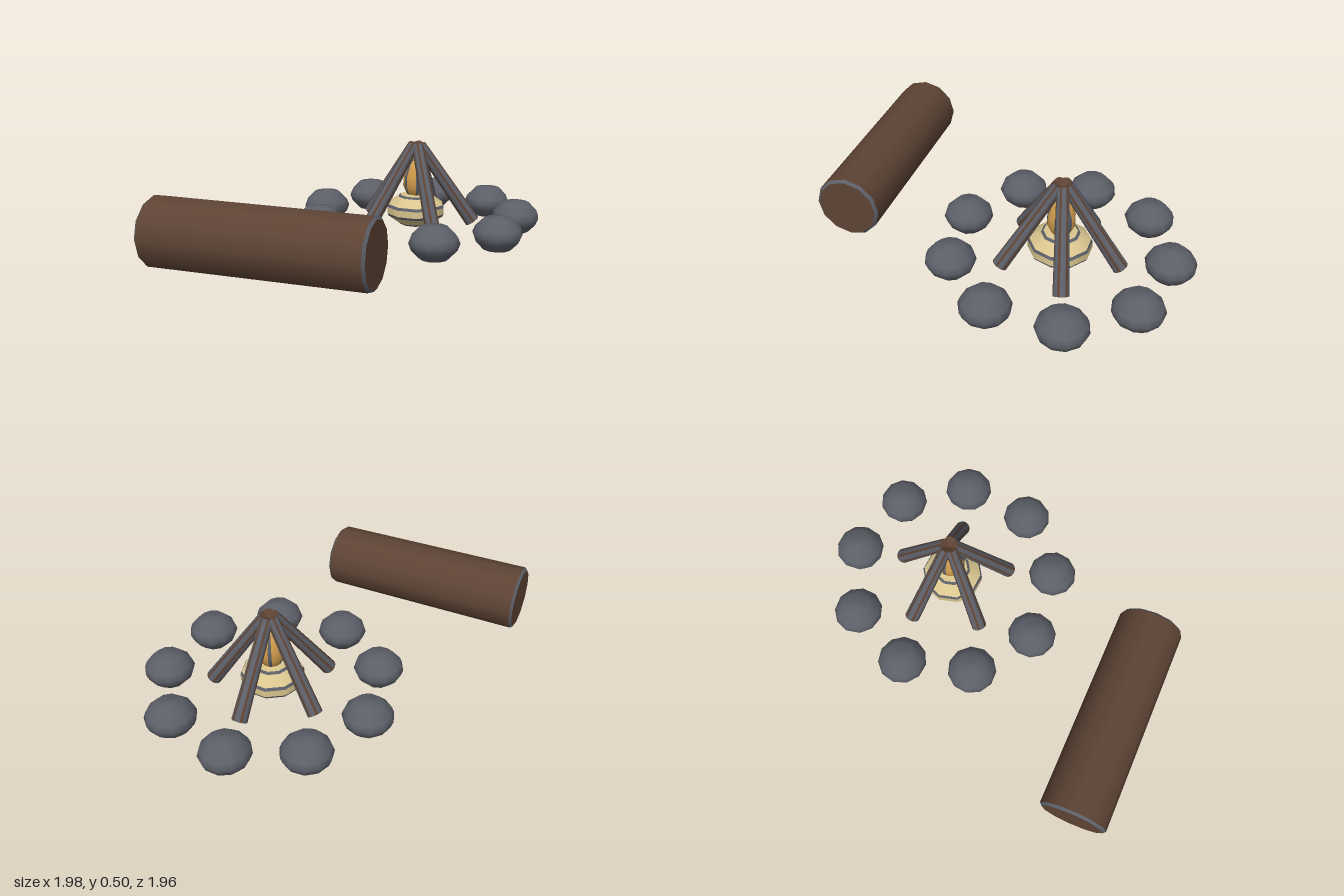
import * as THREE from 'three';

const make = (name, color, double) => {
  const m = new THREE.MeshStandardMaterial({ color });
  m.name = name;
  return m;
};

export function createModel() {
  const bark = make('brown bark', 0x5d4334);
  const stone = make('grey stone', 0x5c5f68);
  const straw = make('pale yellow tinder', 0xd9c58e);
  const flameMat = make('orange flame', 0xcf9a4c);
  const root = new THREE.Group();
  root.name = 'campfire';

  // Lathe from [radius, height] pairs listed bottom to top
  const lathe = (pts, sides) =>
    new THREE.LatheGeometry(pts.map(([r, y]) => new THREE.Vector2(r, y)), sides);

  const add = (parent, name, geo, mat) => {
    const mesh = new THREE.Mesh(geo, mat);
    mesh.name = name;
    parent.add(mesh);
    return mesh;
  };

  // Lengthwise stripes: every `every`-th segment takes the second material
  const stripe = (geo, rows, sides, every) => {
    geo.clearGroups();
    for (let i = 0; i < sides; i++) {
      geo.addGroup(i * rows * 6, rows * 6, i % every === 0 ? 1 : 0);
    }
    return geo;
  };

  // Stack of lathe sections, each with its own colour and crisp borders
  const stack = (parent, name, pts, mats, sides) => {
    mats.forEach((mat, i) => add(parent, name + (i + 1), lathe(pts.slice(i, i + 2), sides), mat));
  };

  // Seat log with pale rims at both ends
  const log = new THREE.Group();
  log.name = 'seatLog';
  const trunk = new THREE.Group();
  trunk.name = 'trunk';
  trunk.rotation.z = -Math.PI / 2;
  stack(trunk, 'trunkSection',
    [[0, -0.565], [0.163, -0.565], [0.177, -0.552], [0.173, 0.552], [0.159, 0.565], [0, 0.565]],
    [bark, stone, bark, stone, bark], 12);
  log.add(trunk);
  log.position.set(-0.405, 0.2, 0.662);
  log.rotation.y = -0.273;
  root.add(log);

  // Everything else circles the fire centre
  const fire = new THREE.Group();
  fire.name = 'fire';
  fire.position.set(0.3, 0, -0.3);
  root.add(fire);

  // Ring of nine flattened stones
  const stoneGeo = lathe([[0, 0.003], [0.075, 0.01], [0.118, 0.055], [0.132, 0.092],
    [0.12, 0.125], [0.072, 0.174], [0, 0.185]], 11);
  for (let i = 0; i < 9; i++) {
    const a = (i / 9) * Math.PI * 2;
    const s = add(fire, 'ringStone' + (i + 1), stoneGeo, stone);
    s.position.set(0.56 * Math.cos(a), 0, 0.56 * Math.sin(a));
    s.rotation.y = -a;
  }

  // Banded tinder bundle
  stack(fire, 'tinderSection',
    [[0, 0.033], [0.087, 0.042], [0.1, 0.052], [0.157, 0.094], [0.165, 0.108],
      [0.165, 0.145], [0.157, 0.16], [0.1, 0.2], [0.087, 0.21], [0, 0.222]],
    [straw, stone, straw, stone, straw, stone, straw, stone, straw], 10);

  // Flame with thin dark seams
  const flamePts = [[0, 0.18], [0.045, 0.2], [0.072, 0.26], [0.07, 0.32], [0.045, 0.385], [0, 0.43]];
  add(fire, 'flame', stripe(lathe(flamePts, 24), flamePts.length - 1, 24, 4), [flameMat, stone]);

  // Five leaning sticks meeting at the top
  const stickGeo = stripe(lathe([[0.041, -0.262], [0.032, 0.262]], 18), 1, 18, 3);
  const lowEnd = lathe([[0, -0.262], [0.041, -0.262]], 18);
  const topEnd = lathe([[0.032, 0.262], [0, 0.262]], 18);
  for (let i = 0; i < 5; i++) {
    const arm = new THREE.Group();
    arm.name = 'stick' + (i + 1);
    arm.rotation.y = -(i / 5) * Math.PI * 2;
    const lean = new THREE.Group();
    lean.name = 'leaningStick';
    lean.position.set(0.17, 0.275, 0);
    lean.rotation.z = 0.609;
    add(lean, 'stickSide', stickGeo, [stone, bark]);
    add(lean, 'stickLowEnd', lowEnd, bark);
    add(lean, 'stickTopEnd', topEnd, bark);
    arm.add(lean);
    fire.add(arm);
  }
  return root;
}
